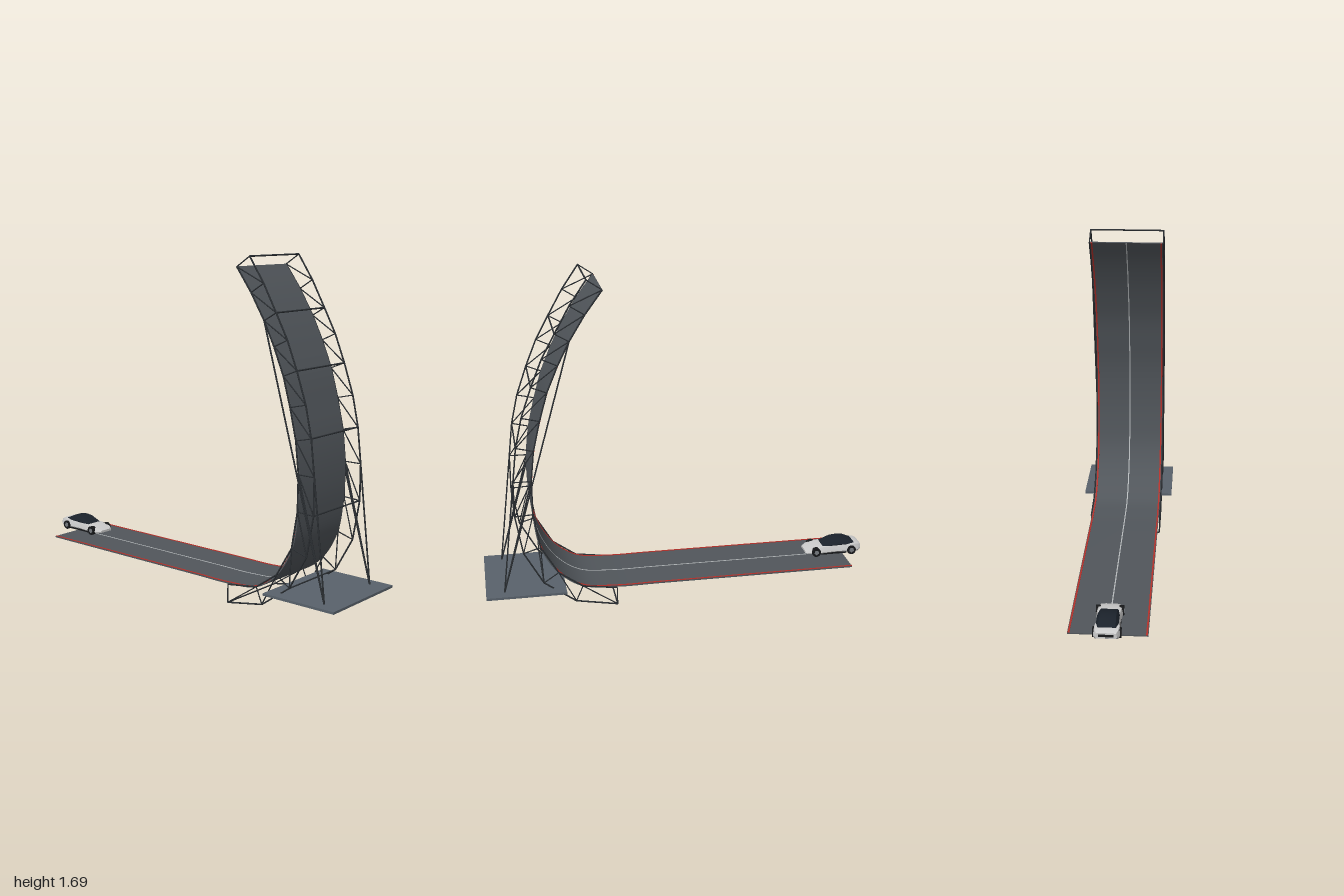
import * as THREE from 'three';
import { toCreasedNormals } from 'three/addons/utils/BufferGeometryUtils.js';

const mat = (color) => new THREE.MeshStandardMaterial({ color });
const ROAD = mat(0x51565b), STEEL = mat(0x2b2f33), PAD = mat(0x59626b), RED = mat(0xb5302a),
  WHITE = mat(0xb4b8ba), SILVER = mat(0xbcbec0), GLASS = mat(0x1b222b), RUBBER = mat(0x17181a), RIM = mat(0x777b80);

const V = (x, y, z) => new THREE.Vector3(x, y, z);

function add(parent, name, geometry, material, x = 0, y = 0, z = 0) {
  const mesh = new THREE.Mesh(geometry, material);
  mesh.name = name;
  mesh.position.set(x, y, z);
  parent.add(mesh);
  return mesh;
}

// Straight steel member between two points
function beam(parent, name, a, b, r = 0.004) {
  const d = b.clone().sub(a);
  const m = add(parent, name, new THREE.CylinderGeometry(r, r, d.length(), 6), STEEL);
  m.position.copy(a).addScaledVector(d, 0.5);
  m.quaternion.setFromUnitVectors(V(0, 1, 0), d.normalize());
}

// Truss nodes in the side plane: inner chord under the road, outer chord behind it
const INNER = [[0.34, 0.1], [0.515, 0.125], [0.635, 0.21], [0.72, 0.355], [0.75, 0.535], [0.752, 0.71], [0.735, 0.865],
  [0.7, 1.015], [0.66, 1.155], [0.605, 1.285], [0.547, 1.4], [0.47, 1.525], [0.385, 1.64]];
const OUTER = [[0.34, 0.008], [0.55, 0.045], [0.71, 0.16], [0.805, 0.33], [0.84, 0.53], [0.84, 0.71], [0.82, 0.885],
  [0.787, 1.035], [0.735, 1.185], [0.68, 1.32], [0.615, 1.44], [0.542, 1.57], [0.46, 1.69]];

// Centre path of the road: flat run, then the rising curve
function roadPath() {
  const curve = new THREE.CatmullRomCurve3([[0.15, 0.105], [0.34, 0.105], ...INNER.slice(1)].map(([x, y]) => V(x, y, 0)));
  const pts = curve.getPoints(84);
  pts.unshift(V(-0.91, 0.105, 0));
  return pts.map((p, i) => {
    const t = pts[Math.min(i + 1, pts.length - 1)].clone().sub(pts[Math.max(i - 1, 0)]).normalize();
    return { p, n: V(-t.y, t.x, 0) };
  });
}

// Strip following the road between two offsets from the path and two z limits
function strip(parent, name, path, low, high, z0, z1, material) {
  const side = (off) => path.map(({ p, n }) => new THREE.Vector2(p.x + n.x * off, p.y + n.y * off));
  const shape = new THREE.Shape([...side(low), ...side(high).reverse()]);
  const geo = new THREE.ExtrudeGeometry(shape, { depth: z1 - z0, bevelEnabled: false });
  add(parent, name, toCreasedNormals(geo, 0.6), material, 0, 0, z0);
}

// Skin over sections along x: [x, half width, bottom, top, top width ratio]
function loft(sections) {
  const pos = [], idx = [], n = 10;
  for (const [x, w, b, t, k] of sections) {
    const h = t - b;
    const half = [[w * 0.88, b], [w, b + h * 0.25], [w * (0.55 + 0.45 * k), b + h * 0.65], [w * k, b + h * 0.93], [w * k * 0.6, t]];
    for (const [z, y] of half) pos.push(x, y, z);
    for (const [z, y] of half.reverse()) pos.push(x, y, -z);
  }
  const last = (sections.length - 1) * n;
  for (let s = 0; s < last; s += n)
    for (let i = 0; i < n; i++) {
      const j = (i + 1) % n;
      idx.push(s + i, s + n + i, s + j, s + j, s + n + i, s + n + j);
    }
  for (let i = 1; i < n - 1; i++) idx.push(0, i, i + 1, last, last + i + 1, last + i);
  const g = new THREE.BufferGeometry();
  g.setAttribute('position', new THREE.Float32BufferAttribute(pos, 3));
  g.setIndex(idx);
  return toCreasedNormals(g, 0.7);
}

function createCar() {
  const car = new THREE.Group();
  car.name = 'car';
  add(car, 'carBody', loft([
    [-1, 0.05, 0.14, 0.168, 0.88], [-0.985, 0.06, 0.13, 0.176, 0.88], [-0.945, 0.065, 0.13, 0.176, 0.88],
    [-0.9, 0.058, 0.127, 0.173, 0.86], [-0.85, 0.056, 0.127, 0.171, 0.86], [-0.8, 0.061, 0.127, 0.17, 0.86],
    [-0.75, 0.064, 0.13, 0.164, 0.86], [-0.715, 0.056, 0.13, 0.153, 0.85], [-0.697, 0.042, 0.133, 0.145, 0.85],
  ]), SILVER);
  // Dark cabin with sloping windscreen
  add(car, 'cabin', loft([
    [-0.965, 0.045, 0.165, 0.177, 0.9], [-0.92, 0.052, 0.165, 0.197, 0.75], [-0.885, 0.052, 0.165, 0.2, 0.74],
    [-0.85, 0.052, 0.165, 0.196, 0.76], [-0.79, 0.045, 0.16, 0.17, 0.9],
  ]), GLASS);
  for (const s of [-1, 1]) {
    add(car, 'sill', new THREE.BoxGeometry(0.14, 0.008, 0.006), RUBBER, -0.85, 0.129, s * 0.055);
    for (const x of [-0.947, -0.752]) {
      const tyre = add(car, 'tyre', new THREE.CylinderGeometry(0.024, 0.024, 0.022, 20), RUBBER, x, 0.142, s * 0.055);
      const rim = add(car, 'rim', new THREE.CylinderGeometry(0.014, 0.014, 0.024, 5), RIM, x, 0.142, s * 0.055);
      tyre.rotation.x = rim.rotation.x = Math.PI / 2;
    }
  }
  add(car, 'rearPanel', new THREE.BoxGeometry(0.004, 0.012, 0.07), RUBBER, -0.9995, 0.154, 0);
  return car;
}

export function createModel() {
  const model = new THREE.Group();

  // Road with red edges and a pale centre line
  const path = roadPath();
  strip(model, 'road', path, -0.003, 0.003, -0.187, 0.187, ROAD);
  strip(model, 'centreLine', path, 0.002, 0.0042, -0.003, 0.003, WHITE);
  for (const s of [-1, 1]) strip(model, 'redEdge', path, 0.001, 0.0055, s * 0.18 - 0.004, s * 0.18 + 0.004, RED);

  // Side trusses and ground struts
  const truss = new THREE.Group();
  truss.name = 'truss';
  model.add(truss);
  const Z = 0.191;
  for (const z of [-Z, Z]) {
    const inner = INNER.map(([x, y]) => V(x, y, z)), outer = OUTER.map(([x, y]) => V(x, y, z));
    for (let i = 0; i < inner.length; i++) {
      beam(truss, 'post', inner[i], outer[i], 0.003);
      if (i === 0) continue;
      beam(truss, 'innerChord', inner[i - 1], inner[i]);
      beam(truss, 'outerChord', outer[i - 1], outer[i]);
      beam(truss, 'diagonal', outer[i - 1], inner[i], 0.003);
    }
    const foot = V(0.908, 0.125, z);
    for (const top of [inner[10], inner[5], outer[6]]) beam(truss, 'strut', foot, top);
  }

  // Cross bars joining the outer chords
  for (let i = 0; i < OUTER.length; i += 2) {
    const [x, y] = OUTER[i];
    beam(truss, 'crossBar', V(x, y, -Z), V(x, y, Z));
  }

  add(model, 'basePad', new THREE.BoxGeometry(0.4, 0.012, 0.5), PAD, 0.8, 0.121, 0);
  model.add(createCar());
  return model;
}
